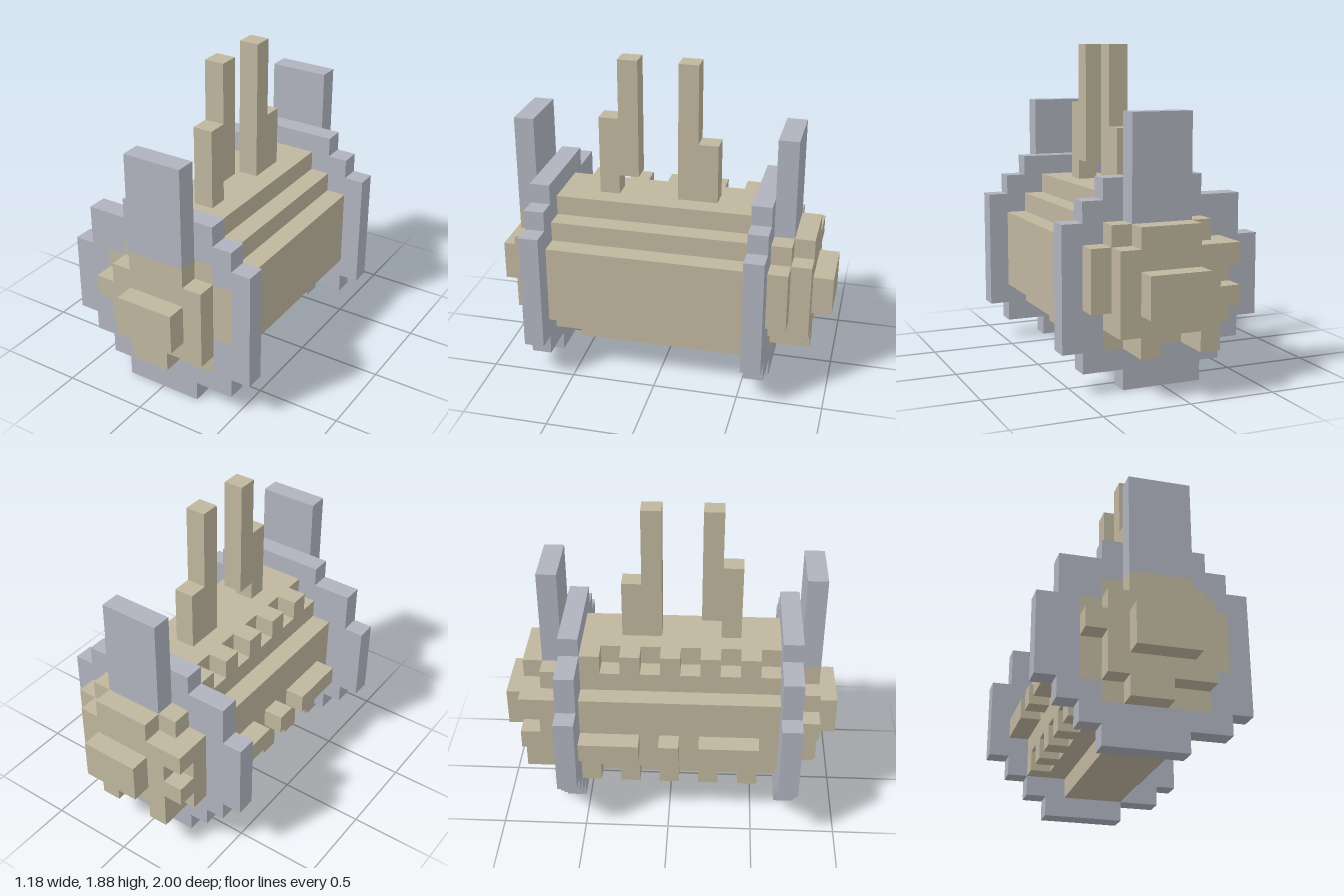
import * as THREE from 'three';

const U = 2 / 17; // one grid cell

export function createModel() {
  const model = new THREE.Group();
  const tan = new THREE.MeshStandardMaterial({ color: 0xbfb69e });
  tan.name = 'tan stone';
  const grey = new THREE.MeshStandardMaterial({ color: 0xb0b3be });
  grey.name = 'grey metal';

  // closed stepped outline from stacked rows [y0, y1, x0, x1]
  const outline = (rows) => {
    const right = rows.flatMap(([y0, y1, , x]) => [[x, y0], [x, y1]]);
    const left = rows.flatMap(([y0, y1, x]) => [[x, y0], [x, y1]]).reverse();
    return [...right, ...left]
      .filter((p, i, a) => i === 0 || p[0] !== a[i - 1][0] || p[1] !== a[i - 1][1])
      .map(([x, y]) => new THREE.Vector2(x * U, y * U));
  };

  const slab = (name, mat, rows, z0, z1, hole) => {
    const shape = new THREE.Shape(outline(rows));
    if (hole) shape.holes.push(new THREE.Path(outline(hole)));
    const geo = new THREE.ExtrudeGeometry(shape, { depth: (z1 - z0) * U, bevelEnabled: false });
    geo.translate(0, 0, z0 * U);
    const mesh = new THREE.Mesh(geo, mat);
    mesh.name = name;
    model.add(mesh);
  };

  const block = (name, mat, x0, x1, y0, y1, z0, z1) => {
    const mesh = new THREE.Mesh(
      new THREE.BoxGeometry((x1 - x0) * U, (y1 - y0) * U, (z1 - z0) * U), mat);
    mesh.position.set((x0 + x1) / 2 * U, (y0 + y1) / 2 * U, (z0 + z1) / 2 * U);
    mesh.name = name;
    model.add(mesh);
  };

  // drum between the two flanges
  slab('drum', tan, [
    [1, 2, -1, 2], [2, 3, -2, 3], [3, 7, -3, 4], [7, 8, -2, 3], [8, 9, -1, 2],
  ], -4.5, 4.5);
  slab('drumFrontEnd', tan, [
    [1, 2, -1, 1], [2, 3, -2, 3], [3, 7, -3, 4], [7, 8, -2, 3], [8, 9, -1, 2],
  ], 4.5, 5.5);

  // ratchet teeth along the upper and lower edges
  for (let z = -4.5; z < 4; z += 2) {
    block('upperTooth', tan, -2, -1, 8, 9, z, z + 1);
    block('lowerTooth', tan, -3, -2, 2, 3, z, z + 1);
  }
  // broken rib on the right side
  for (const [z0, z1] of [[-4.5, -1.5], [-0.5, 0.5], [1.5, 4.5]]) {
    block('sideRib', tan, -4, -3, 4, 5, z0, z1);
  }

  // flanges with a tan core
  const rim = [
    [0, 1, -2, 2], [1, 2, -3, 4], [2, 3, -4, 5], [3, 7, -5, 5],
    [7, 8, -4, 5], [8, 9, -4, 4], [9, 10, -2, 3],
  ];
  const core = [[2, 3, -2, 3], [3, 4, -3, 3], [4, 7, -3, 4], [7, 8, -2, 3]];
  for (const [side, z] of [['front', 5.5], ['back', -5.5]]) {
    slab(side + 'Flange', grey, rim, z, z + 1, core);
    slab(side + 'FlangeCore', tan, core, z, z + 1);
  }

  // upright fins
  block('frontFin', grey, -1, 2, 8, 13, 6.5, 7.5);
  block('backFin', grey, -1, 2, 8, 13, -6.5, -5.5);

  // front hub and knob
  slab('frontHub', tan, [
    [2, 3, -1, 1], [3, 5, -2, 3], [5, 6, -3, 3], [6, 7, -2, 3], [7, 8, -1, 2],
  ], 6.5, 7.5);
  block('frontKnob', tan, -1, 2, 4, 6, 7.5, 8.5);

  // back hub in two layers, with feet and knob
  slab('backHubInner', tan, [
    [3, 4, -3, 3], [4, 7, -3, 4], [7, 8, -2, 3],
  ], -6.5, -5.5);
  slab('backHubOuter', tan, [
    [3, 4, -2, 3], [4, 5, -3, 3], [5, 6, -2, 3], [6, 7, -3, 3], [7, 8, -1, 2],
  ], -7.5, -6.5);
  for (const x of [-2, 1]) block('backHubFoot', tan, x, x + 1, 2, 3, -7.5, -5.5);
  block('backKnob', tan, -1, 2, 4, 6, -8.5, -7.5);

  // levers on top of the drum
  block('frontLever', tan, 0, 1, 10, 16, 1.5, 2.5);
  block('frontLeverFoot', tan, 0, 1, 9, 13, 2.5, 3.5);
  block('backLever', tan, 0, 1, 9, 16, -1.5, -0.5);
  block('backLeverFoot', tan, 0, 1, 9, 12, -2.5, -1.5);

  return model;
}
